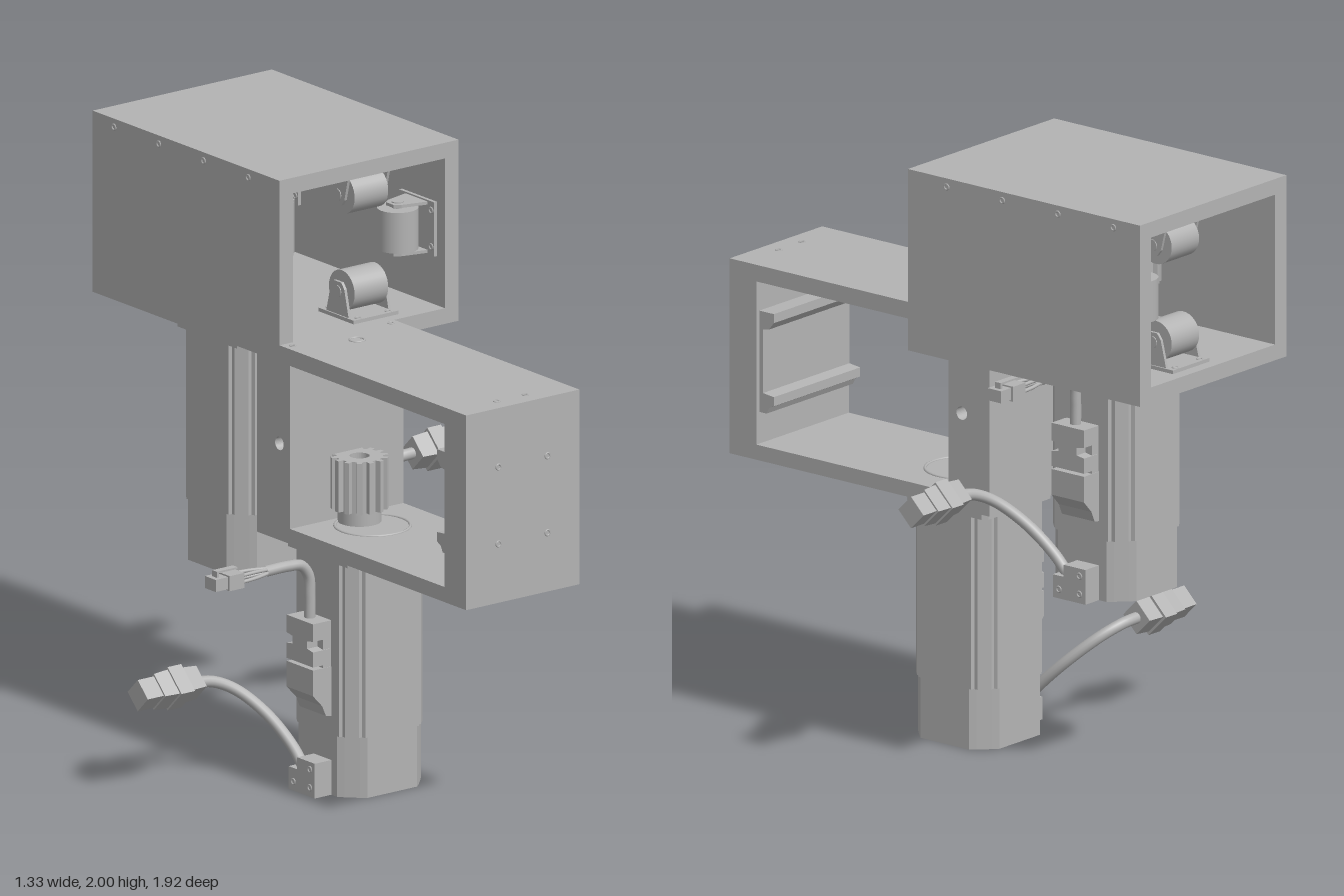
import * as THREE from 'three';

const gray = new THREE.MeshStandardMaterial({ color: 0xb3b3b3 });
gray.name = 'machined gray';

const V = (x, y, z) => new THREE.Vector3(x, y, z);
const poly = pts => new THREE.Shape(pts.map(p => new THREE.Vector2(p[0], p[1])));
const extrude = (shape, depth, curveSegments = 16) =>
  new THREE.ExtrudeGeometry(shape, { depth, bevelEnabled: false, curveSegments });

function add(parent, name, geo, x = 0, y = 0, z = 0) {
  const m = new THREE.Mesh(geo, gray);
  m.name = name;
  m.position.set(x, y, z);
  parent.add(m);
  return m;
}
// Box given by its limits
function box(parent, name, x0, x1, y0, y1, z0, z1) {
  return add(parent, name, new THREE.BoxGeometry(x1 - x0, y1 - y0, z1 - z0),
    (x0 + x1) / 2, (y0 + y1) / 2, (z0 + z1) / 2);
}
function rectHole(x0, x1, y0, y1) {
  return new THREE.Path([[x0, y0], [x0, y1], [x1, y1], [x1, y0]].map(p => new THREE.Vector2(...p)));
}
function roundHole(x, y, r) {
  return new THREE.Path().absarc(x, y, r, 0, Math.PI * 2, true);
}
// Profile in (z, y), extruded from x0 to x1
function extrudeX(shape, x0, x1) {
  return extrude(shape, x1 - x0).rotateY(-Math.PI / 2).translate(x1, 0, 0);
}
// Profile in plan, extruded upwards from y0 to y1
function extrudeY(shape, y0, y1) {
  return extrude(shape, y1 - y0).rotateX(-Math.PI / 2).translate(0, y0, 0);
}
function tube(parent, name, pts, r, seg = 32) {
  add(parent, name, new THREE.TubeGeometry(new THREE.CatmullRomCurve3(pts), seg, r, 12));
}
// Small flush ring marking a screw hole, facing the given axis
function screw(parent, axis, x, y, z) {
  const g = new THREE.TorusGeometry(0.009, 0.003, 6, 16);
  if (axis === 'x') g.rotateY(Math.PI / 2);
  if (axis === 'y') g.rotateX(Math.PI / 2);
  add(parent, 'screwHole', g, x, y, z);
}

function gearGeometry(teeth, outer, root, bore, y0, y1) {
  const pts = [];
  for (let i = 0; i < teeth; i++) {
    [[-0.3, root], [-0.2, outer], [0.2, outer], [0.3, root]].forEach(([t, r]) => {
      const a = (i + t) / teeth * Math.PI * 2;
      pts.push([r * Math.cos(a), r * Math.sin(a)]);
    });
  }
  const s = poly(pts);
  s.holes.push(roundHole(0, 0, bore));
  return extrudeY(s, y0, y1);
}

// Square section with the same corner outline on all four corners
function cornered(corner) {
  const pts = [];
  for (let k = 0; k < 4; k++) {
    const c = Math.cos(k * Math.PI / 2), s = Math.sin(k * Math.PI / 2);
    corner.forEach(([x, y]) => pts.push([x * c - y * s, x * s + y * c]));
  }
  return poly(pts);
}

// Servo motor with its plugs and cables on the +x side
function makeMotor(name, height) {
  const g = new THREE.Group();
  g.name = name;
  const a = 0.168;
  const grooved = cornered([[a, 0.108], [0.156, 0.112], [0.156, 0.125], [0.125, 0.156], [0.112, 0.156], [0.108, a]]);
  const chamfered = cornered([[a, 0.1], [0.152, 0.118], [0.118, 0.152], [0.1, a]]);
  const square = cornered([[a, 0.152], [0.152, a]]);
  add(g, 'motorRearCover', extrudeY(chamfered, 0, 0.2));
  add(g, 'motorBody', extrudeY(grooved, 0.2, height - 0.04));
  add(g, 'motorFlange', extrudeY(square, height - 0.04, height));

  // Power plug, cable and coupling
  box(g, 'powerSocket', 0.16, 0.235, 0.0, 0.075, -0.07, 0.065);
  box(g, 'powerSocketTop', 0.16, 0.235, 0.075, 0.115, -0.07, 0.02);
  [[0.03, -0.045], [0.09, -0.045], [0.03, 0.04]].forEach(([y, z]) => screw(g, 'x', 0.235, y, z));
  tube(g, 'powerCable', [V(0.2, 0.06, 0.02), V(0.203, 0.13, 0.085), V(0.235, 0.22, 0.175),
    V(0.3, 0.295, 0.25), V(0.37, 0.328, 0.283), V(0.45, 0.335, 0.29)], 0.019);
  [[0.43, 0.49, 0.055, 0.06], [0.49, 0.545, 0.072, 0.072], [0.545, 0.6, 0.064, 0.06], [0.6, 0.665, 0.052, 0.052]]
    .forEach(([x0, x1, r0, r1]) => {
      const c = new THREE.CylinderGeometry(r0, r1, x1 - x0, 4).toNonIndexed();
      c.computeVertexNormals();
      add(g, 'powerCoupling', c.rotateZ(Math.PI / 2), (x0 + x1) / 2, 0.335, 0.29);
    });

  // Signal plug: tapered socket below, waisted plug above
  const wedge = poly([[0.16, 0.26], [0.19, 0.265], [0.205, 0.3], [0.242, 0.34], [0.242, 0.425], [0.16, 0.425]]);
  add(g, 'signalSocket', extrude(wedge, 0.135).translate(0, 0, -0.07));
  const waisted = poly([[-0.07, 0.435], [0.065, 0.435], [0.065, 0.485], [0.035, 0.49], [0.035, 0.515],
    [0.065, 0.52], [0.065, 0.578], [-0.07, 0.578], [-0.07, 0.52], [-0.04, 0.515], [-0.04, 0.49], [-0.07, 0.485]]);
  add(g, 'signalPlug', extrudeX(waisted, 0.175, 0.242));
  box(g, 'signalPlugBase', 0.16, 0.2, 0.42, 0.578, -0.068, 0.063);
  tube(g, 'signalCable', [V(0.2, 0.57, 0), V(0.2, 0.65, 0), V(0.205, 0.715, 0), V(0.235, 0.755, 0),
    V(0.29, 0.763, 0), V(0.38, 0.763, 0)], 0.018);
  for (const y of [-1, 1]) for (const z of [-1, 1]) {
    tube(g, 'signalWire', [V(0.37, 0.763 + y * 0.006, z * 0.006), V(0.43, 0.763 + y * 0.01, z * 0.014),
      V(0.51, 0.763 + y * 0.011, z * 0.02)], 0.006, 8);
  }
  box(g, 'signalConnector', 0.49, 0.55, 0.738, 0.788, -0.036, 0.036);
  box(g, 'signalConnectorTip', 0.55, 0.6, 0.743, 0.783, -0.028, 0.028);
  box(g, 'latchPost', 0.575, 0.583, 0.78, 0.803, -0.012, 0.012);
  box(g, 'latchBar', 0.5, 0.583, 0.797, 0.803, -0.012, 0.012);
  return g;
}

// Roller in a bracket: base on y = 0, axis along x
function makeRoller() {
  const g = new THREE.Group();
  g.name = 'guideRoller';
  box(g, 'rollerBase', -0.09, 0.09, 0, 0.012, -0.09, 0.09);
  add(g, 'roller', new THREE.CylinderGeometry(0.066, 0.066, 0.135, 32).rotateZ(Math.PI / 2), 0, 0.088, 0);
  add(g, 'rollerAxle', new THREE.CylinderGeometry(0.02, 0.02, 0.176, 16).rotateZ(Math.PI / 2), 0, 0.088, 0);
  const cheek = poly([[-0.06, 0], [0.06, 0], [0.035, 0.1], [0.02, 0.12], [-0.02, 0.12], [-0.035, 0.1]]);
  for (const x of [-0.085, 0.075]) add(g, 'rollerCheek', extrudeX(cheek, x, x + 0.01));
  for (const x of [-0.06, 0.06]) for (const z of [-0.075, 0.075]) screw(g, 'y', x, 0.012, z);
  return g;
}

export function createModel() {
  const root = new THREE.Group();
  root.name = 'twinMotorDrive';

  // Lower housing, open from side to side, notched under the upper housing
  const lower = poly([[-0.115, 0.81], [0.96, 0.81], [0.96, 1.455], [0, 1.455], [0, 1.4], [-0.115, 1.4]]);
  lower.holes.push(rectHole(0.055, 0.85, 0.86, 1.4), roundHole(0, 1.13, 0.022));
  add(root, 'lowerHousing', extrudeX(lower, -0.23, 0.225));

  // Upper housing, open from front to back
  const upper = poly([[-0.23, 1.4], [0.49, 1.4], [0.49, 2], [-0.23, 2]]);
  upper.holes.push(rectHole(-0.175, 0.435, 1.452, 1.948));
  add(root, 'upperHousing', extrude(upper, 0.96), 0, 0, -0.96);

  // Screw holes
  for (const x of [-0.1, 0.097]) for (const y of [1.005, 1.26]) screw(root, 'z', x, y, 0.96);
  for (const [x, z] of [[-0.2, 0.03], [0.195, 0.03], [-0.06, 0.9], [0.055, 0.9]]) {
    screw(root, 'y', x, 1.455, z);
    screw(root, 'y', x, 0.81, z);
  }
  for (const z of [-0.16, -0.39, -0.62, -0.85]) {
    screw(root, 'x', 0.49, 1.972, z);
    screw(root, 'x', -0.23, 1.972, z);
  }
  add(root, 'shaftBoreRim', new THREE.TorusGeometry(0.024, 0.004, 8, 24).rotateX(Math.PI / 2), 0, 1.455, 0.105);

  // Motors, the front one turned half round
  const front = makeMotor('frontMotor', 0.81);
  front.rotation.y = Math.PI;
  front.position.set(0, 0, 0.118);
  const rear = makeMotor('rearMotor', 0.8);
  rear.position.set(0, 0.6, -0.45);
  root.add(front, rear);

  // Pinions with collars and seats
  add(root, 'frontPinion', gearGeometry(14, 0.092, 0.074, 0.032, 0.905, 1.075), 0, 0, 0.118);
  add(root, 'frontPinionCollar', new THREE.CylinderGeometry(0.07, 0.07, 0.05, 32), 0, 0.882, 0.118);
  add(root, 'frontPinionSeat', new THREE.TorusGeometry(0.12, 0.005, 8, 40).rotateX(Math.PI / 2), 0, 0.86, 0.185);
  add(root, 'rearPinion', gearGeometry(20, 0.144, 0.122, 0.035, 1.61, 1.785), 0, 0, -0.45);
  add(root, 'rearPinionCollar', new THREE.CylinderGeometry(0.105, 0.105, 0.165, 40), 0, 1.53, -0.45);

  // Guide rollers at both ends of the upper housing: floor, ceiling and side
  for (const z of [-0.13, -0.83]) {
    const places = [[0.19, 1.452, 0], [0.19, 1.948, Math.PI], [0.435, 1.705, Math.PI / 2]];
    for (const [x, y, turn] of places) {
      const r = makeRoller();
      r.position.set(x, y, z);
      r.rotation.z = turn;
      root.add(r);
    }
  }

  // Rail clamp along the inside of the front wall
  const rail = poly([[0.855, 0.965], [0.855, 1.3], [0.79, 1.3], [0.79, 1.27], [0.81, 1.245], [0.835, 1.24],
    [0.835, 1.03], [0.79, 1.025], [0.79, 0.995], [0.81, 0.985], [0.82, 0.965]]);
  add(root, 'clampRail', extrudeX(rail, -0.215, 0.21));
  return root;
}
